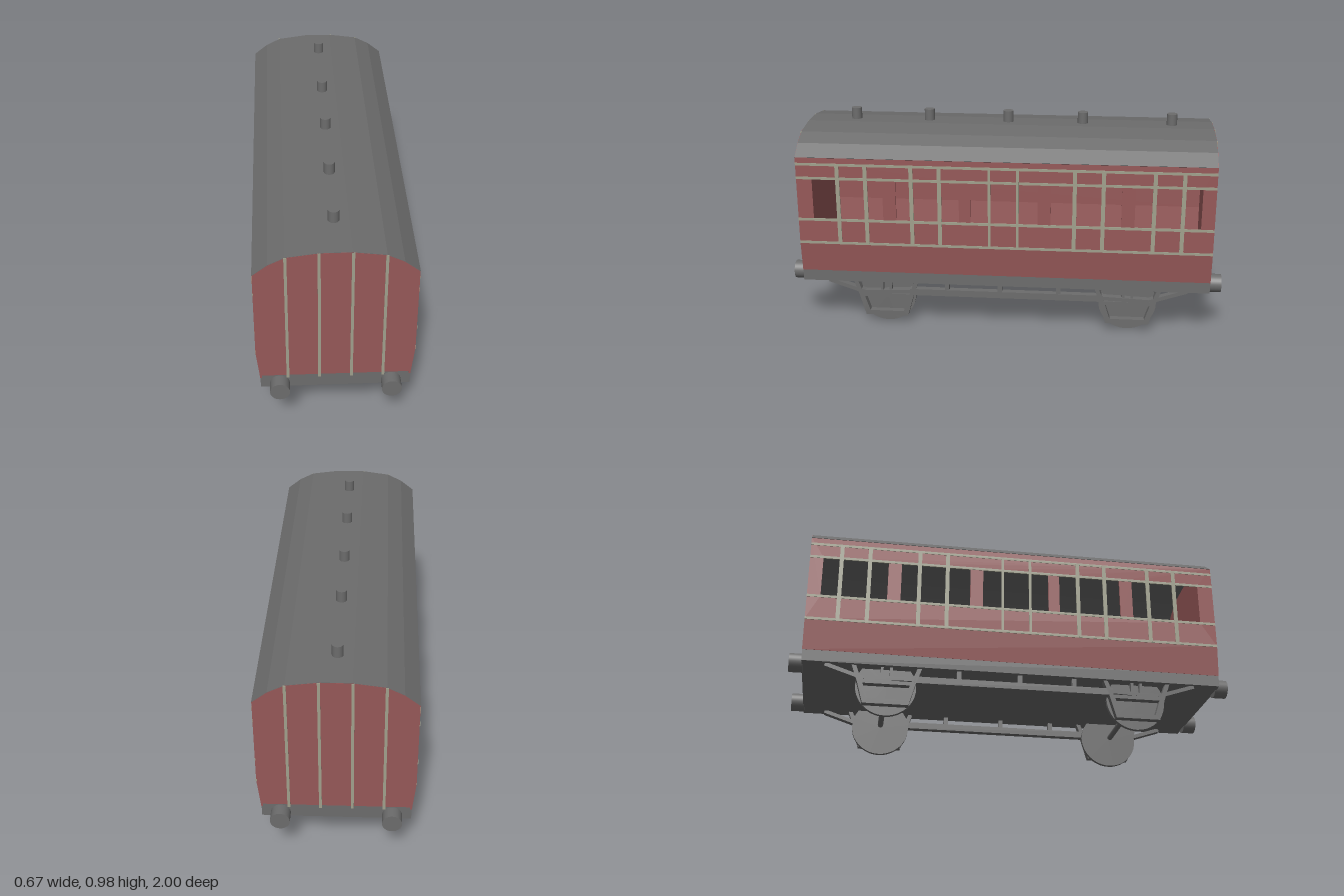
import * as THREE from 'three';

export function createModel() {
  const model = new THREE.Group();
  model.name = 'railwayCarriage';
  const mat = (name, color) => {
    const m = new THREE.MeshStandardMaterial({ color });
    m.name = name;
    return m;
  };
  const red = mat('coachRed', 0x965858);
  const grey = mat('frameGrey', 0x6c6c6c);
  const cream = mat('trimSage', 0xa0a08c);

  const add = (name, geo, material, x = 0, y = 0, z = 0) => {
    const mesh = new THREE.Mesh(geo, material);
    mesh.name = name;
    mesh.position.set(x, y, z);
    model.add(mesh);
    return mesh;
  };
  const box = (name, material, x0, x1, y0, y1, z0, z1) =>
    add(name, new THREE.BoxGeometry(Math.abs(x1 - x0), y1 - y0, Math.abs(z1 - z0)), material,
      (x0 + x1) / 2, (y0 + y1) / 2, (z0 + z1) / 2);
  const shapeOf = pts => new THREE.Shape(pts.map(p => new THREE.Vector2(p[0], p[1])));
  const pathOf = pts => new THREE.Path(pts.map(p => new THREE.Vector2(p[0], p[1])));
  const extrude = (shape, depth) => new THREE.ExtrudeGeometry(shape, { depth, bevelEnabled: false });
  // Extrudes a (z, y) outline across x, centred on x = 0
  const extrudeAcross = (shape, depth) =>
    extrude(shape, depth).rotateY(-Math.PI / 2).translate(depth / 2, 0, 0);
  const mirrorPts = half => [...half, ...half.map(([x, y]) => [-x, y]).reverse()];

  const L = 0.945;
  const roofHalf = [[0.333, 0.82], [0.27, 0.87], [0.2, 0.905], [0.065, 0.923]];

  // Roof shell
  const inner = mirrorPts(roofHalf).map(([x, y]) => [x * 0.98, y - 0.008]).reverse();
  add('roof', extrude(shapeOf([...mirrorPts(roofHalf), ...inner]), 2 * L - 0.002)
    .translate(0, 0, -L + 0.001), grey);

  // Roof vents
  for (const z of [-0.755, -0.343, 0.005, 0.378, 0.727])
    add('roofVent', new THREE.CylinderGeometry(0.024, 0.024, 0.065, 20), grey, 0, 0.9425, z);

  // End walls with upright trim
  const endHalf = [[0.317, 0.28], [0.331, 0.41], ...roofHalf.map(([x, y]) => [x - 0.001, y - 0.001])];
  for (const s of [-1, 1]) {
    add('endWall', extrude(shapeOf(mirrorPts(endHalf)), 0.008)
      .translate(0, 0, -0.004), red, 0, 0, s * (L - 0.004));
    for (const x of [-0.2, -0.067, 0.067, 0.2])
      box('endTrim', cream, x - 0.006, x + 0.006, 0.267, Math.abs(x) > 0.1 ? 0.904 : 0.921,
        s * (L - 0.002), s * (L + 0.003));
  }

  // Window openings and trim positions along the side
  const windows = [[0.873, 0.55], [0.49, 0.202], [0.15, -0.155], [-0.214, -0.53], [-0.59, -0.885]];
  const uprights = [0.755, 0.627, 0.418, 0.29, 0.064, -0.064, -0.32, -0.448, -0.675, -0.803];

  for (const s of [-1, 1]) {
    // Upper side wall with windows
    const wall = shapeOf([[-L, 0.41], [L, 0.41], [L, 0.82], [-L, 0.82]]);
    for (const [a, b] of windows)
      wall.holes.push(pathOf([[a, 0.525], [b, 0.525], [b, 0.722], [a, 0.722]]));
    add('sideWall', extrudeAcross(wall, 0.008), red, s * 0.328);

    // Lower side wall, tapering in
    const low = [[0.332, 0.41], [0.317, 0.267], [0.309, 0.267], [0.324, 0.41]].map(([x, y]) => [s * x, y]);
    add('lowerSideWall', extrude(shapeOf(low), 2 * L).translate(0, 0, -L), red);

    // Side trim
    for (const y of [0.412, 0.524, 0.723, 0.788])
      box('sideTrimRail', cream, s * 0.329, s * 0.334, y - 0.006, y + 0.006, -L, L);
    for (const z of uprights) {
      const w = Math.abs(z) < 0.1 ? 0.006 : 0.009;
      box('sideTrimUpright', cream, s * 0.329, s * 0.3345, 0.41, 0.79, z - w, z + w);
    }
  }

  // Underframe, its top forming the floor
  box('underframe', grey, -0.316, 0.316, 0.215, 0.28, -L + 0.001, L - 0.001);

  // Buffers
  for (const sx of [-1, 1])
    for (const sz of [-1, 1])
      add('buffer', new THREE.CylinderGeometry(0.042, 0.042, 0.06, 32).rotateX(Math.PI / 2),
        grey, sx * 0.235, 0.235, sz * 0.97);

  // Running gear
  const beam = (name, x, a, b, t, depth) => {
    const dz = b[0] - a[0], dy = b[1] - a[1];
    const bar = new THREE.BoxGeometry(depth, t, Math.hypot(dz, dy));
    add(name, bar, grey, x, (a[1] + b[1]) / 2, (a[0] + b[0]) / 2).rotation.x = -Math.atan2(dy, dz);
  };
  for (const sz of [-1, 1]) {
    const zc = sz * 0.565 - 0.008;
    add('axle', new THREE.CylinderGeometry(0.013, 0.013, 0.42, 16).rotateZ(Math.PI / 2), grey, 0, 0.134, zc);
    for (const sx of [-1, 1]) {
      add('wheel', new THREE.CylinderGeometry(0.134, 0.134, 0.018, 40).rotateZ(Math.PI / 2),
        grey, sx * 0.255, 0.134, zc);
      // Axle guard: open tapered frame
      const guard = shapeOf([[-0.1, 0.04], [0.1, 0.04], [0.128, 0.14], [0.155, 0.217],
        [0.135, 0.217], [0.11, 0.15], [-0.11, 0.15], [-0.135, 0.217], [-0.155, 0.217], [-0.128, 0.14]]);
      guard.holes.push(pathOf([[-0.08, 0.062], [-0.103, 0.133], [0.103, 0.133], [0.08, 0.062]]));
      add('axleGuard', extrudeAcross(guard, 0.032), grey, sx * 0.284, 0, zc);
      // Spring and its outer hanger arm
      const x = sx * 0.284, o = d => zc + sz * d;
      beam('springArm', x, [o(0.27), 0.212], [o(0.1), 0.155], 0.018, 0.032);
      beam('springArm', x, [o(-0.13), 0.165], [o(0.1), 0.155], 0.018, 0.032);
      for (const d of [-0.02, 0.02])
        beam('springHanger', x, [o(d), 0.217], [o(d), 0.15], 0.012, 0.02);
    }
  }

  // Footboards on hangers
  for (const s of [-1, 1]) {
    box('footboard', grey, s * 0.268, s * 0.3, 0.147, 0.178, -0.46, 0.445);
    for (const z of [0.268, 0.02, -0.253])
      box('footboardHanger', grey, s * 0.27, s * 0.298, 0.17, 0.217, z - 0.01, z + 0.01);
  }
  return model;
}
